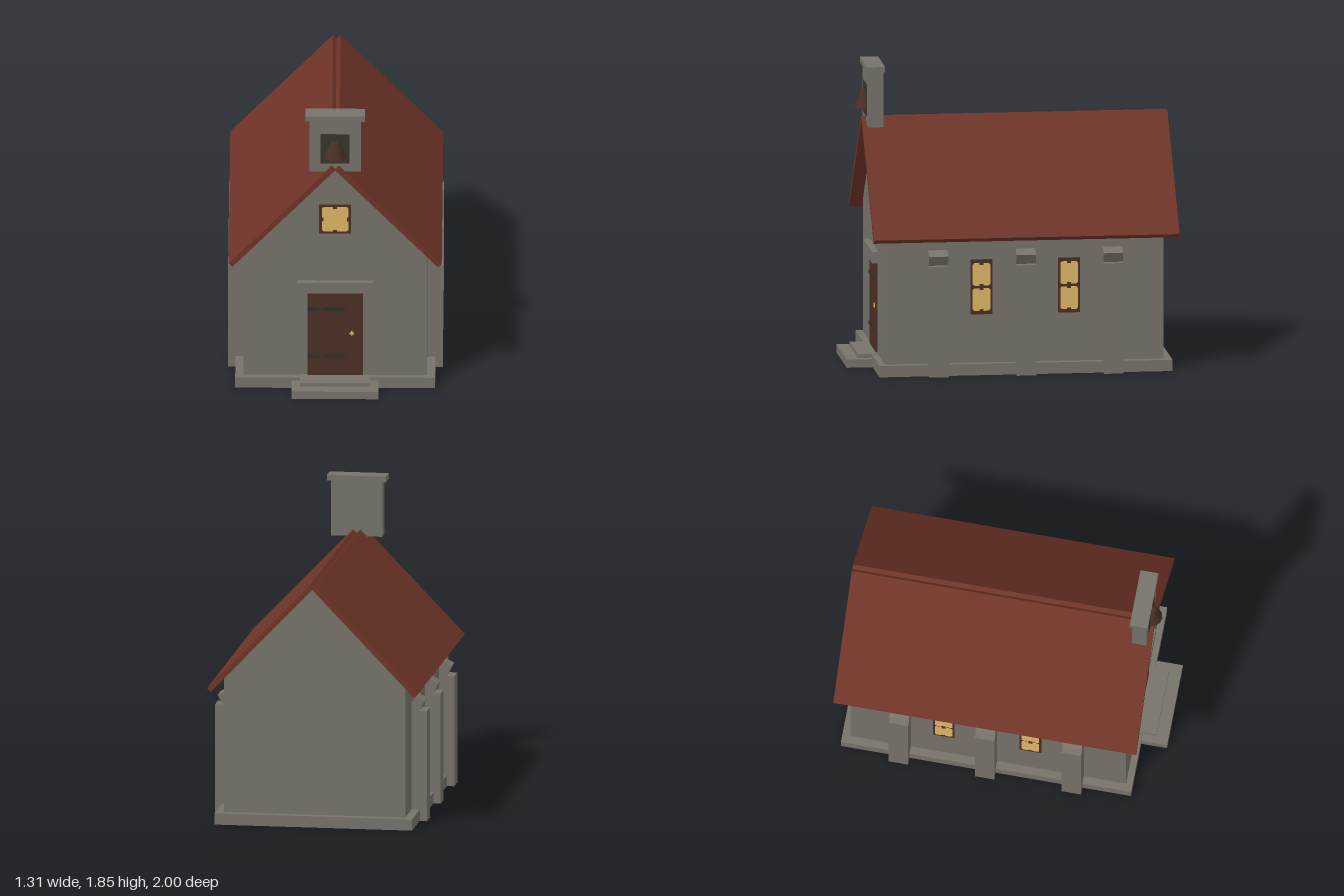
import * as THREE from 'three';

const mat = (name, color) => {
  const m = new THREE.MeshStandardMaterial({ color });
  m.name = name;
  return m;
};

export function createModel() {
  const stone = mat('stone', 0x77736a);
  const roofRed = mat('roof red', 0x6f3428);
  const wood = mat('door wood', 0x4a3024);
  const frameWood = mat('frame wood', 0x4c2d24);
  const glow = mat('window glow', 0xe0b766);
  const iron = mat('iron', 0x32302a);
  const shade = mat('niche shade', 0x35352a);
  const bronze = mat('bell bronze', 0x4a2f24);
  const brass = mat('brass', 0xe0b766);

  const model = new THREE.Group();
  model.name = 'chapel';

  const add = (parent, name, geo, material, x = 0, y = 0, z = 0) => {
    const mesh = new THREE.Mesh(geo, material);
    mesh.name = name;
    mesh.position.set(x, y, z);
    parent.add(mesh);
    return mesh;
  };
  // Box given by its limits on each axis
  const box = (parent, name, material, [x0, x1], [y0, y1], [z0, z1]) =>
    add(parent, name, new THREE.BoxGeometry(x1 - x0, y1 - y0, z1 - z0), material,
      (x0 + x1) / 2, (y0 + y1) / 2, (z0 + z1) / 2);
  const prism = (points, z0, z1) => {
    const shape = new THREE.Shape(points.map(([x, y]) => new THREE.Vector2(x, y)));
    return new THREE.ExtrudeGeometry(shape, { depth: z1 - z0, bevelEnabled: false }).translate(0, 0, z0);
  };

  // Base, steps and gabled body
  box(model, 'plinth', stone, [-0.61, 0.61], [0, 0.07], [-0.96, 0.84]);
  box(model, 'lowerStep', stone, [-0.265, 0.265], [0, 0.05], [0.8, 1]);
  box(model, 'upperStep', stone, [-0.215, 0.215], [0.01, 0.073], [0.8, 0.925]);
  add(model, 'walls', prism([[-0.56, 0.05], [0.56, 0.05], [0.56, 0.9], [0, 1.483], [-0.56, 0.9]], -0.91, 0.8), stone);

  // Two roof slabs that leave a small notch along the ridge
  const slab = [[0.022, 1.51], [0, 1.487], [0.628, 0.833], [0.65, 0.856]];
  for (const s of [1, -1]) {
    add(model, s > 0 ? 'leftRoof' : 'rightRoof', prism(slab.map(([x, y]) => [s * x, y]), -1, 0.878), roofRed);
  }

  // Buttresses with tilted caps
  for (const s of [1, -1]) {
    for (const z of [0.478, -0.06, -0.595]) {
      const buttress = new THREE.Group();
      buttress.name = 'buttress';
      model.add(buttress);
      add(buttress, 'buttressPier', new THREE.BoxGeometry(0.155, 0.685, 0.12), stone, s * 0.578, 0.3425, z);
      const cap = [[0.638, 0.745], [0.58, 0.776], [0.525, 0.67], [0.583, 0.635]];
      add(buttress, 'buttressCap', prism(cap.map(([x, y]) => [s * x, y]), z - 0.06, z + 0.06), stone);
    }
  }

  // Pane with softened corners, facing +z
  const paneGeo = (w, h) => {
    const c = 0.01, a = w / 2, b = h / 2;
    return prism([[-a + c, -b], [a - c, -b], [a, -b + c], [a, b - c], [a - c, b], [-a + c, b], [-a, b - c], [-a, -b + c]], 0, 0.003);
  };
  // Window facing +z: frame plate, panes stacked in rows, and small bar ends
  const makeWindow = (w, h, paneW, paneH, rows, name) => {
    const g = new THREE.Group();
    g.name = name;
    add(g, 'windowFrame', new THREE.BoxGeometry(w, h, 0.008), frameWood, 0, 0, 0.004);
    const pitch = paneH + 0.016;
    for (let i = 0; i < rows; i++) {
      const y = (i - (rows - 1) / 2) * pitch;
      add(g, 'pane', paneGeo(paneW, paneH), glow, 0, y, 0.008);
      for (const s of [1, -1]) {
        add(g, 'barEnd', new THREE.BoxGeometry(0.024, 0.012, 0.004), frameWood, 0, y + s * (paneH / 2 - 0.004), 0.0105);
        if (rows === 1) add(g, 'barEnd', new THREE.BoxGeometry(0.012, 0.024, 0.004), frameWood, s * (paneW / 2 - 0.004), y, 0.0105);
      }
    }
    return g;
  };
  for (const s of [1, -1]) {
    for (const z of [0.208, -0.33]) {
      const win = makeWindow(0.134, 0.34, 0.108, 0.14, 2, 'sideWindow');
      win.position.set(s * 0.56, 0.54, z);
      win.rotation.y = s * Math.PI / 2;
      model.add(win);
    }
  }
  const gableWindow = makeWindow(0.195, 0.192, 0.162, 0.164, 1, 'gableWindow');
  gableWindow.position.set(0, 1.125, 0.8);
  model.add(gableWindow);
  box(gableWindow, 'barCrossing', glow, [-0.014, 0.014], [-0.014, 0.014], [0.01, 0.014]);

  // Door with lintel, strap hinges and handle
  box(model, 'door', wood, [-0.17, 0.17], [0.07, 0.64], [0.79, 0.808]);
  box(model, 'lintel', stone, [-0.23, 0.23], [0.638, 0.708], [0.78, 0.84]);
  for (const y of [0.2, 0.517]) {
    box(model, 'hingePlate', iron, [-0.17, -0.1], [y - 0.012, y + 0.012], [0.805, 0.812]);
    box(model, 'hingeStrap', iron, [-0.065, 0.06], [y - 0.012, y + 0.012], [0.805, 0.812]);
  }
  box(model, 'handleBar', brass, [0.086, 0.114], [0.35, 0.36], [0.805, 0.814]);
  box(model, 'handlePost', brass, [0.095, 0.105], [0.341, 0.369], [0.805, 0.814]);

  // Bell tower with a dark niche
  box(model, 'bellTower', stone, [-0.158, 0.158], [1.468, 1.815], [0.762, 0.853]);
  box(model, 'towerCap', stone, [-0.182, 0.182], [1.81, 1.845], [0.753, 0.864]);
  box(model, 'niche', shade, [-0.088, 0.088], [1.523, 1.72], [0.851, 0.857]);

  // Bell and clapper
  const bell = new THREE.CylinderGeometry(0.028, 0.067, 0.105, 12);
  add(model, 'bell', bell, bronze, 0, 1.619, 0.855);
  add(model, 'clapper', new THREE.SphereGeometry(0.012, 8, 6), iron, 0, 1.565, 0.87);

  return model;
}
